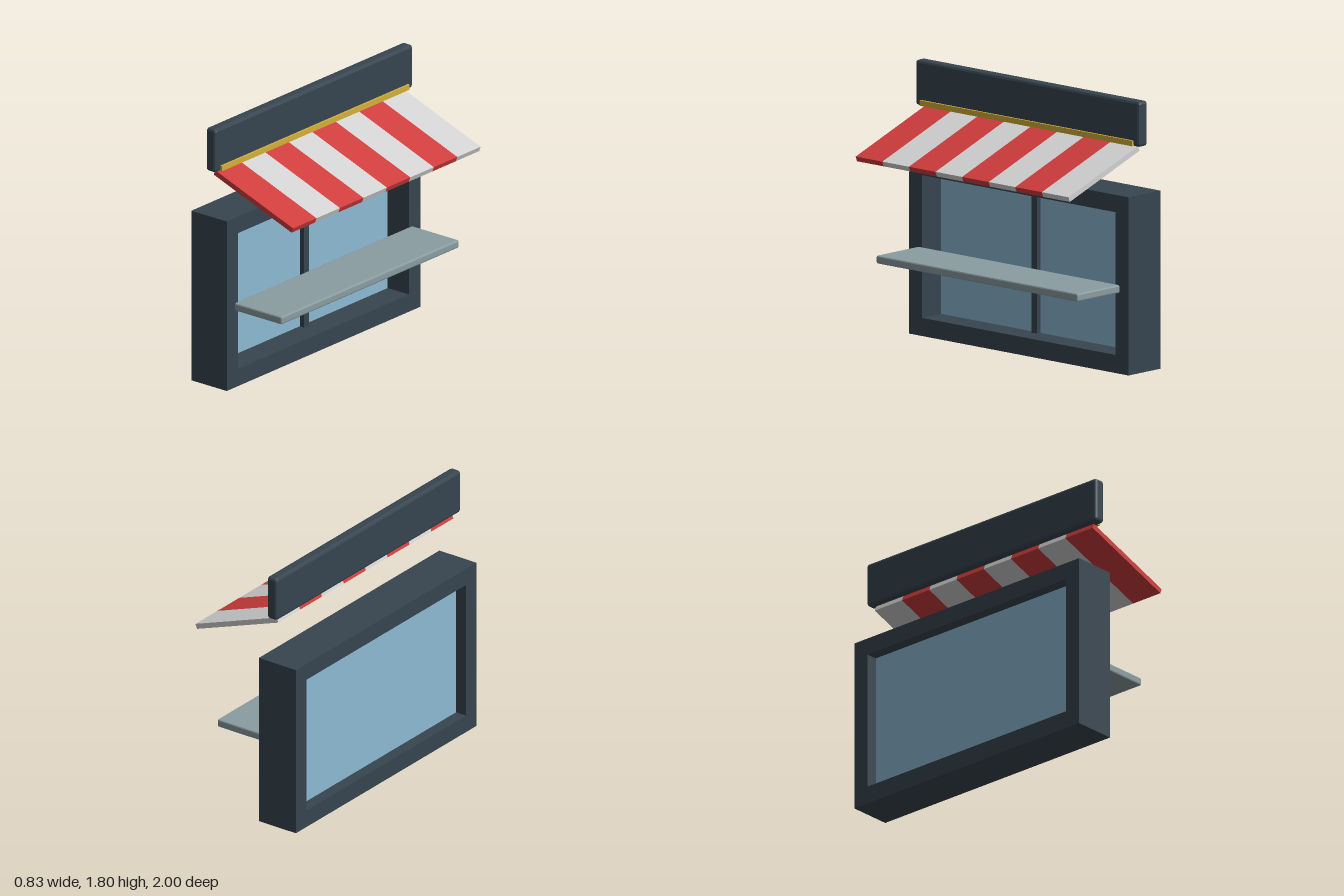
import * as THREE from 'three';
import { RoundedBoxGeometry } from 'three/addons/geometries/RoundedBoxGeometry.js';

const material = (name, color) => {
  const m = new THREE.MeshStandardMaterial({ color, flatShading: true });
  m.name = name;
  return m;
};

export function createModel() {
  const slate = material('slate', 0x37454f);
  const red = material('red', 0xd03c3c);
  const white = material('white', 0xd2d2d2);
  const gold = material('gold', 0xd4af37);
  const glass = material('glass', 0x8dbad4);
  const grey = material('grey', 0x8b9da1);

  const model = new THREE.Group();
  model.name = 'servingWindow';

  const add = (name, geometry, mat, x, y, z = 0, parent = model) => {
    const mesh = new THREE.Mesh(geometry, mat);
    mesh.name = name;
    mesh.position.set(x, y, z);
    parent.add(mesh);
    return mesh;
  };

  // Window frame: a deep rectangle with one large opening
  const outline = new THREE.Shape([
    new THREE.Vector2(-0.98, 0), new THREE.Vector2(0.98, 0),
    new THREE.Vector2(0.98, 1.18), new THREE.Vector2(-0.98, 1.18),
  ]);
  outline.holes.push(new THREE.Path([
    new THREE.Vector2(-0.865, 0.12), new THREE.Vector2(-0.865, 1.065),
    new THREE.Vector2(0.865, 1.065), new THREE.Vector2(0.865, 0.12),
  ]));
  const frame = new THREE.ExtrudeGeometry(outline, { depth: 0.3, bevelEnabled: false });
  frame.rotateY(Math.PI / 2);
  add('windowFrame', frame, slate, -0.42, 0);

  // Recessed pane and the upright bar in front of it
  add('windowPane', new THREE.BoxGeometry(0.04, 0.945, 1.73), glass, -0.32, 0.5925);
  add('centreBar', new THREE.BoxGeometry(0.07, 0.945, 0.05), slate, -0.3, 0.5925);

  // Serving shelf
  add('servingShelf', new RoundedBoxGeometry(0.4, 0.054, 1.8, 1, 0.01), grey, 0.075, 0.561);

  // Header board with chamfered edges, and its gold trim
  add('headerBoard', new RoundedBoxGeometry(0.08, 0.3, 2, 1, 0.018), slate, -0.24, 1.65);
  add('goldTrim', new THREE.BoxGeometry(0.02, 0.036, 1.9), gold, -0.195, 1.522);

  // Sloping striped awning
  const awning = new THREE.Group();
  awning.name = 'awning';
  awning.position.set(0.08, 1.36, 0);
  awning.rotation.z = -0.35;
  model.add(awning);
  const count = 8;
  const width = 1.9 / count;
  const stripe = new THREE.BoxGeometry(0.7, 0.035, width);
  for (let i = 0; i < count; i++) {
    add(`awningStripe${i + 1}`, stripe, i % 2 ? red : white, 0, 0, -0.95 + (i + 0.5) * width, awning);
  }

  return model;
}
